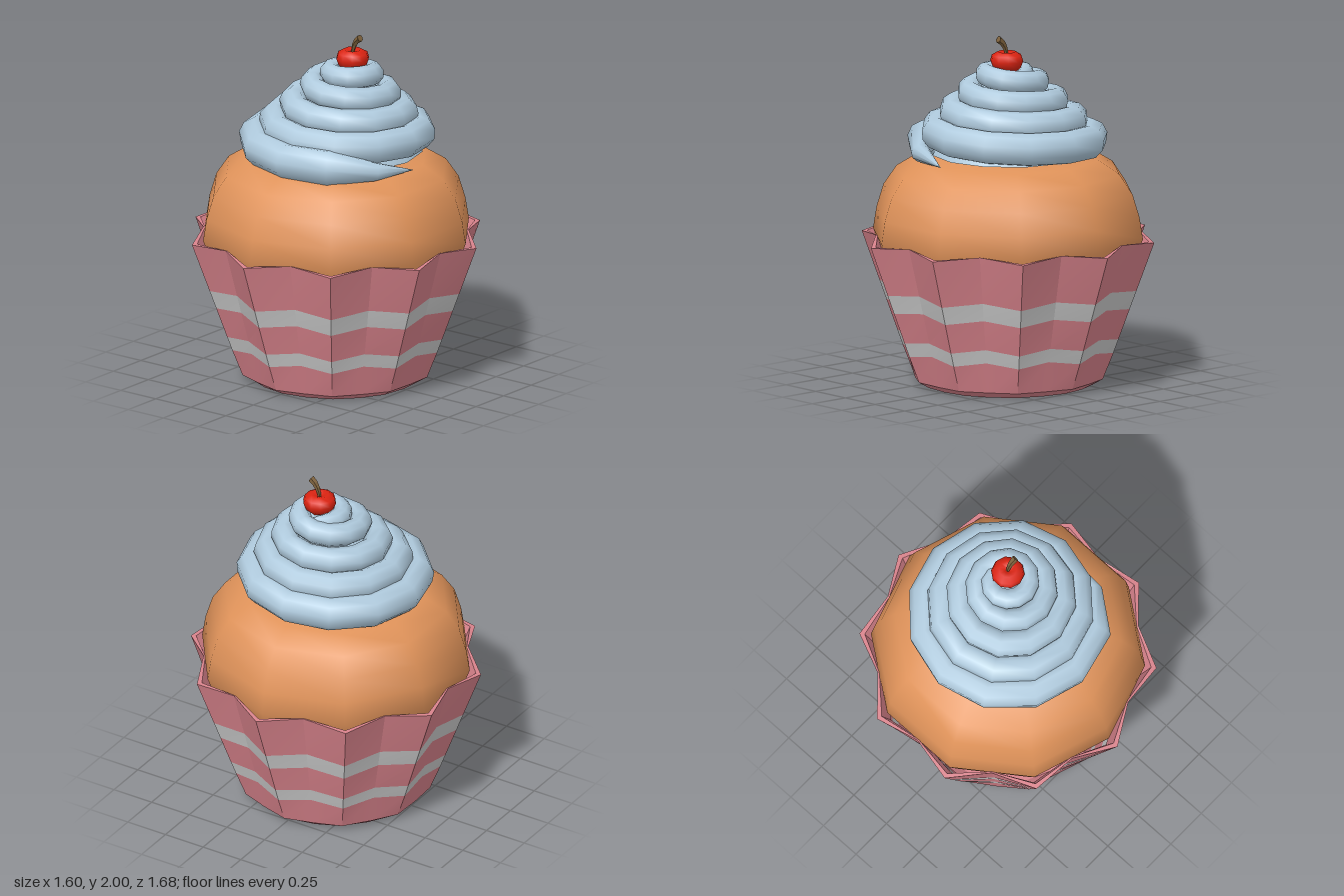
import * as THREE from 'three';
import { toCreasedNormals } from 'three/addons/utils/BufferGeometryUtils.js';

const TAU = Math.PI * 2;
const mat = (color, extra = {}) => new THREE.MeshStandardMaterial({ color, ...extra });

function add(group, name, geometry, material) {
  const mesh = new THREE.Mesh(geometry, material);
  mesh.name = name;
  group.add(mesh);
  return mesh;
}

// Pleated ring: [height, ridge radius, valley radius, valley lift]
const PLEATS = 10;
function pleatedStrip(rings) {
  const n = PLEATS * 2, pos = [], idx = [];
  rings.forEach(([y, ridge, valley, lift], k) => {
    for (let i = 0; i <= n; i++) {
      const a = (i / n) * TAU, r = i % 2 ? valley : ridge;
      pos.push(Math.sin(a) * r, y + (i % 2 ? lift : -lift), Math.cos(a) * r);
      if (k > 0 && i < n) {
        const b = k * (n + 1) + i, c = b - n - 1;
        idx.push(c, c + 1, b + 1, c, b + 1, b);
      }
    }
  });
  const g = new THREE.BufferGeometry();
  g.setAttribute('position', new THREE.Float32BufferAttribute(pos, 3));
  g.setIndex(idx);
  return toCreasedNormals(g, 0.2);
}

// Curve sampled by its own parameter rather than by length
class ParamCurve extends THREE.Curve {
  constructor(fn) { super(); this.fn = fn; }
  getPoint(u, target = new THREE.Vector3()) { return target.copy(this.fn(u)); }
  getPointAt(u, target) { return this.getPoint(u, target); }
  getTangentAt(u, target) { return this.getTangent(u, target); }
}

// Tube whose thickness follows radius(u)
function taperedTube(curve, segments, sides, radius) {
  const g = new THREE.TubeGeometry(curve, segments, 1, sides, false);
  const p = g.attributes.position, v = new THREE.Vector3();
  for (let i = 0; i < p.count; i++) {
    const u = Math.floor(i / (sides + 1)) / segments;
    const c = curve.getPointAt(u);
    v.fromBufferAttribute(p, i).sub(c).multiplyScalar(radius(u)).add(c);
    p.setXYZ(i, v.x, v.y, v.z);
  }
  return g;
}

function lathe(profile, sides) {
  return new THREE.LatheGeometry(profile.map(([r, y]) => new THREE.Vector2(r, y)), sides);
}

export function createModel() {
  const model = new THREE.Group();
  model.name = 'cupcake';

  // Paper wrapper: base, then alternating pink and pale bands up the pleats
  const wrapper = new THREE.Group();
  wrapper.name = 'wrapper';
  model.add(wrapper);
  const pink = mat(0xd9838c, { side: THREE.DoubleSide });
  const pale = mat(0xbcbcbc, { side: THREE.DoubleSide });
  const wall = (y) => {
    const t = (y - 0.035) / 0.805;
    return [y, 0.545 + 0.295 * t, 0.525 + 0.22 * t, 0.013 * Math.min(1, t * 5)];
  };
  add(wrapper, 'wrapperBase', pleatedStrip([[0, 0, 0, 0], [0, 0.485, 0.48, 0], wall(0.035)]), pink);
  const levels = [0.035, 0.2, 0.28, 0.455, 0.56, 0.84];
  for (let i = 0; i < levels.length - 1; i++) {
    add(wrapper, i % 2 ? 'paleBand' : 'pinkBand',
      pleatedStrip([wall(levels[i]), wall(levels[i + 1])]), i % 2 ? pale : pink);
  }
  add(wrapper, 'wrapperRim', pleatedStrip([wall(0.84), [0.84, 0.81, 0.735, 0.01], [0.7, 0.75, 0.69, 0.01]]), pink);

  // Cake dome
  add(model, 'cake', lathe([
    [0, 0.6], [0.685, 0.6], [0.775, 0.845], [0.755, 0.97], [0.715, 1.1],
    [0.64, 1.21], [0.52, 1.285], [0.3, 1.32], [0, 1.33],
  ], PLEATS), mat(0xe0935a));

  // Frosting: one rope coiling inward and upward, ending in a small curl
  const TURNS = 4.8;
  const ropeSize = (u) => 0.103 - 0.048 * u;
  const coil = new ParamCurve((u) => {
    const t = u * TURNS, a = t * TAU;
    const r = Math.max(0.1, 0.625 - 0.107 * t - ropeSize(u));
    return new THREE.Vector3(
      Math.cos(a) * r + 0.01 + 0.04 * u,
      Math.min(1.325 + 0.112 * t, 1.775) + 0.03 * Math.max(0, 1 - t / 0.6) - 0.06 * Math.max(0, 1 - t / 0.15),
      Math.sin(a) * r - 0.03 - 0.02 * u);
  });
  const ropeRadius = (u) => {
    const t = u * TURNS;
    return ropeSize(u) * Math.min(1, t / 0.16) * Math.min(1, Math.sqrt(Math.max(0, (TURNS - t) / 0.2)));
  };
  const cream = mat(0xb0cbde, { side: THREE.DoubleSide });
  add(model, 'frosting', taperedTube(coil, 58, 10, ropeRadius), cream);

  // Solid heart of the frosting, up to the peak under the cherry
  const core = add(model, 'frostingCore', lathe([
    [0.44, 1.32], [0.4, 1.41], [0.12, 1.75], [0.07, 1.81], [0, 1.82],
  ], 12), cream);
  core.position.set(0.03, 0, -0.045);

  // Cherry with a dimpled top
  const cherry = add(model, 'cherry', lathe([
    [0, -0.07], [0.045, -0.062], [0.08, -0.03], [0.095, 0.008],
    [0.085, 0.04], [0.05, 0.06], [0.02, 0.05], [0, 0.035],
  ], 10), mat(0xdd2412));
  cherry.position.set(0.068, 1.846, -0.065);

  // Bent stem, wider at its tip
  const bend = new THREE.QuadraticBezierCurve3(
    new THREE.Vector3(0.066, 1.875, -0.065),
    new THREE.Vector3(0.075, 1.955, -0.065),
    new THREE.Vector3(0.125, 1.982, -0.06));
  const bark = mat(0x7d613c, { flatShading: true, side: THREE.DoubleSide });
  add(model, 'stem', taperedTube(bend, 4, 5, (u) => 0.008 + 0.013 * u), bark);
  const cap = add(model, 'stemTip', new THREE.CircleGeometry(0.021, 5), bark);
  cap.position.copy(bend.getPoint(1));
  cap.lookAt(bend.getPoint(1).add(bend.getTangent(1)));

  return model;
}
